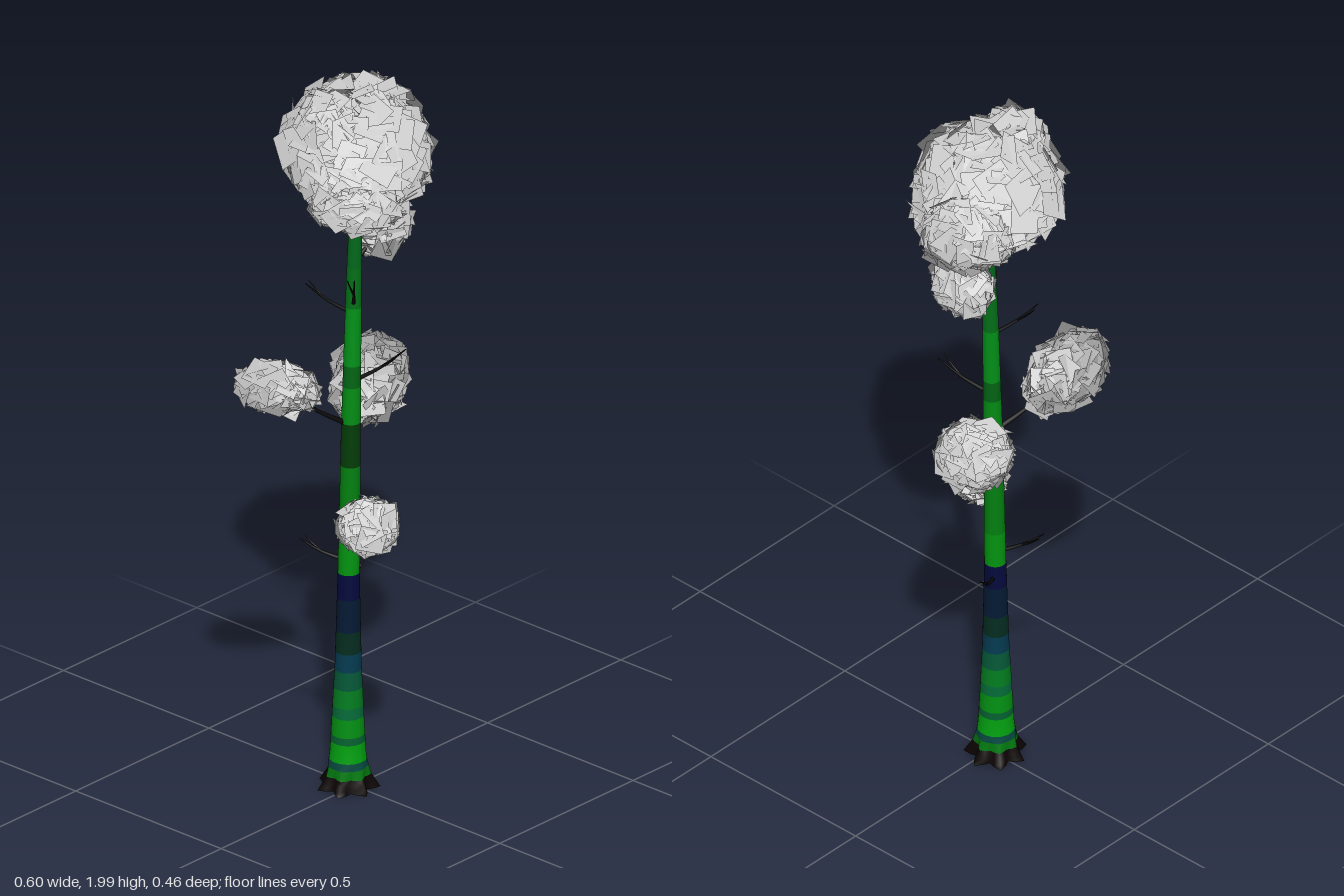
import * as THREE from 'three';
import { mergeGeometries } from 'three/addons/utils/BufferGeometryUtils.js';

const V = (x, y, z) => new THREE.Vector3(x, y, z);

// small seeded random generator
function seeded(seed) {
  let s = seed;
  return () => (s = (s * 16807) % 2147483647) / 2147483647;
}

// trunk stations: height, centre x, centre z, radius
const STATIONS = [
  [0, -0.008, -0.015, 0.068], [0.035, -0.008, -0.015, 0.054], [0.1, -0.008, -0.015, 0.046],
  [0.2, -0.008, -0.015, 0.041], [0.35, -0.008, -0.014, 0.034], [0.6, -0.006, -0.014, 0.028],
  [1.0, 0.001, -0.013, 0.025], [1.4, 0.013, -0.014, 0.02], [1.68, 0.021, -0.012, 0.015],
  [1.8, 0.024, -0.012, 0.01],
];
function trunkAt(y) {
  let i = 0;
  while (i < STATIONS.length - 2 && y > STATIONS[i + 1][0]) i++;
  const a = STATIONS[i], b = STATIONS[i + 1], t = (y - a[0]) / (b[0] - a[0]);
  return a.map((v, k) => v + (b[k] - v) * t);
}

// one tapered bark band; near the ground it spreads into root lobes
function barkBand(y0, y1, color) {
  const geo = new THREE.CylinderGeometry(1, 1, 1, 28, 3, true);
  const p = geo.attributes.position;
  for (let i = 0; i < p.count; i++) {
    const y = y0 + (p.getY(i) + 0.5) * (y1 - y0);
    const [, cx, cz, r] = trunkAt(y);
    const a = Math.atan2(p.getZ(i), p.getX(i));
    const lobe = 1 + 0.22 * Math.max(0, 1 - y / 0.07) * Math.cos(7 * a);
    p.setXYZ(i, cx + Math.cos(a) * r * lobe, y, cz + Math.sin(a) * r * lobe);
  }
  geo.computeVertexNormals();
  const mesh = new THREE.Mesh(geo, new THREE.MeshStandardMaterial({ color, side: THREE.DoubleSide }));
  mesh.name = 'barkBand';
  return mesh;
}

// tapering tube along a curve
function taperedTube(points, r0, r1) {
  const curve = new THREE.CatmullRomCurve3(points);
  const rings = 6, sides = 6;
  const geo = new THREE.TubeGeometry(curve, rings, 1, sides, false);
  const p = geo.attributes.position, v = V(0, 0, 0);
  for (let i = 0; i < p.count; i++) {
    const t = Math.floor(i / (sides + 1)) / rings;
    const c = curve.getPointAt(t);
    v.fromBufferAttribute(p, i).sub(c).multiplyScalar(r0 + (r1 - r0) * t).add(c);
    p.setXYZ(i, v.x, v.y, v.z);
  }
  return geo;
}

// forked branch leaving the trunk at height y, ending at tip
function branch(y, tip, radius) {
  const [, cx, cz] = trunkAt(y);
  const start = V(cx, y, cz), end = V(...tip);
  const mid = start.clone().lerp(end, 0.55).add(V(0, -0.008, 0));
  const d = end.clone().sub(mid);
  const forkTip = mid.clone().addScaledVector(d, 0.8).add(V(-d.z, 0.02, d.x).multiplyScalar(0.4));
  const forkMid = mid.clone().lerp(forkTip, 0.5).add(V(0, -0.003, 0));
  return mergeGeometries([
    taperedTube([start, mid, end], radius, radius * 0.25),
    taperedTube([mid, forkMid, forkTip], radius * 0.55, radius * 0.2),
  ]);
}

// leaf cards spread over an ellipsoid whose first radius runs along axis
function leafClump(center, radii, axis, count, size, lowest, rand) {
  const cards = [], c = V(...center), r = V(...radii), zAxis = V(0, 0, 1);
  const turn = new THREE.Quaternion().setFromUnitVectors(V(1, 0, 0), V(...axis).normalize());
  const outward = V(c.x, 0.06 + Math.max(0, c.y - 1.6), c.z).normalize();
  for (let i = 0; i < count; i++) {
    const ny = 1 - (2 * (i + 0.5)) / count;
    const a = i * 2.39996, h = Math.sqrt(1 - ny * ny);
    const dir = V(Math.cos(a) * h, ny, Math.sin(a) * h);
    const normal = dir.clone().divide(r).normalize().applyQuaternion(turn);
    const pos = dir.clone().multiply(r).multiplyScalar(0.8 + rand() * 0.2).applyQuaternion(turn).add(c);
    if (normal.y < lowest) continue;
    normal.add(V(rand() - 0.5, rand() - 0.5, rand() - 0.5).multiplyScalar(0.8)).normalize();
    const s = size * (0.85 + rand() * 0.3);
    const card = new THREE.PlaneGeometry(s, s);
    card.rotateZ(rand() * Math.PI * 2);
    card.applyQuaternion(new THREE.Quaternion().setFromUnitVectors(zAxis, normal));
    card.translate(pos.x, pos.y, pos.z);
    // soft shading: cards lean toward the side of the tree the clump grows on
    const n = card.attributes.normal;
    const soft = pos.clone().sub(c).normalize().addScaledVector(outward, 0.8).addScaledVector(normal, 0.2).normalize();
    for (let k = 0; k < n.count; k++) n.setXYZ(k, soft.x, soft.y, soft.z);
    cards.push(card);
  }
  return mergeGeometries(cards);
}

export function createModel() {
  const model = new THREE.Group();
  model.name = 'tree';
  const rand = seeded(4271);

  // trunk in coloured bands: [top height, colour]
  const trunk = new THREE.Group();
  trunk.name = 'trunk';
  const bands = [
    [0.035, 0x0c0404], [0.06, 0x027a10], [0.08, 0x064a40], [0.13, 0x02a010], [0.15, 0x046030],
    [0.2, 0x029012], [0.23, 0x046a38], [0.28, 0x027c20], [0.33, 0x045838], [0.38, 0x043a50],
    [0.44, 0x042c20], [0.53, 0x041a34], [0.6, 0x040a3c], [0.7, 0x029410], [0.9, 0x028010],
    [1.02, 0x033c08], [1.12, 0x028c14], [1.18, 0x026414], [1.34, 0x029018], [1.45, 0x027018],
    [1.6, 0x02681a], [1.8, 0x02481c],
  ];
  let y = 0;
  for (const [top, color] of bands) {
    trunk.add(barkBand(y, top, color));
    y = top;
  }
  model.add(trunk);

  // branches: [height on trunk, tip, radius]
  const branchMat = new THREE.MeshStandardMaterial({ color: 0x080808 });
  const branches = [
    [0.56, [0.08, 0.59, -0.06], 0.007],
    [0.63, [-0.085, 0.69, -0.11], 0.007],
    [0.67, [-0.08, 0.78, 0.11], 0.008],
    [0.97, [0.12, 1.04, -0.08], 0.009],
    [1.01, [-0.14, 1.12, -0.09], 0.009],
    [1.13, [0.085, 1.23, 0.1], 0.007],
    [1.34, [-0.06, 1.46, 0.055], 0.006],
    [1.32, [-0.08, 1.41, -0.095], 0.006],
    [1.46, [0.12, 1.55, -0.01], 0.007],
    [1.64, [0.14, 1.76, -0.09], 0.007],
    [1.64, [-0.08, 1.72, 0.07], 0.007],
  ];
  for (const b of branches) {
    const mesh = new THREE.Mesh(branch(...b), branchMat);
    mesh.name = 'branch';
    model.add(mesh);
  }

  // foliage: [name, centre, radii, long axis, card count, card size, lowest facing kept]
  const leafMat = new THREE.MeshStandardMaterial({ color: 0xcccccc, side: THREE.DoubleSide });
  const clumps = [
    ['crownTop', [0.02, 1.785, -0.015], [0.185, 0.17, 0.195], [1, 0, 0], 340, 0.08, -0.5],
    ['crownLeftShoulder', [-0.08, 1.885, -0.01], [0.075, 0.075, 0.08], [1, 0, 0], 70, 0.075, -0.3],
    ['crownLeftSide', [-0.08, 1.77, 0.0], [0.09, 0.1, 0.13], [1, 0, 0], 90, 0.07, -0.6],
    ['crownPeak', [0.05, 1.89, 0.0], [0.08, 0.08, 0.08], [1, 0, 0], 70, 0.07, -0.2],
    ['crownRight', [0.165, 1.76, -0.085], [0.115, 0.1, 0.058], [1, 0, 1], 150, 0.07, -1],
    ['crownLowFront', [0.085, 1.715, 0.06], [0.1, 0.055, 0.08], [1, 0.1, -0.3], 80, 0.07, -1],
    ['crownLowLeft', [-0.075, 1.695, 0.075], [0.115, 0.075, 0.075], [1, 0, 1], 130, 0.07, -1],
    ['underCrownClump', [0.115, 1.535, -0.01], [0.085, 0.066, 0.07], [0.3, 0.8, 0.5], 75, 0.064, -1],
    ['leftClump', [-0.175, 1.15, -0.1], [0.118, 0.055, 0.08], [-0.85, 0.5, -0.12], 110, 0.065, -1],
    ['rightClump', [0.155, 1.06, -0.09], [0.125, 0.08, 0.09], [0.8, 0.45, -0.4], 150, 0.068, -1],
    ['lowClump', [-0.075, 0.795, 0.117], [0.105, 0.062, 0.07], [-0.5, 0.28, 0.8], 110, 0.064, -1],
  ];
  for (const [name, ...shape] of clumps) {
    const mesh = new THREE.Mesh(leafClump(...shape, rand), leafMat);
    mesh.name = name;
    model.add(mesh);
  }
  return model;
}
